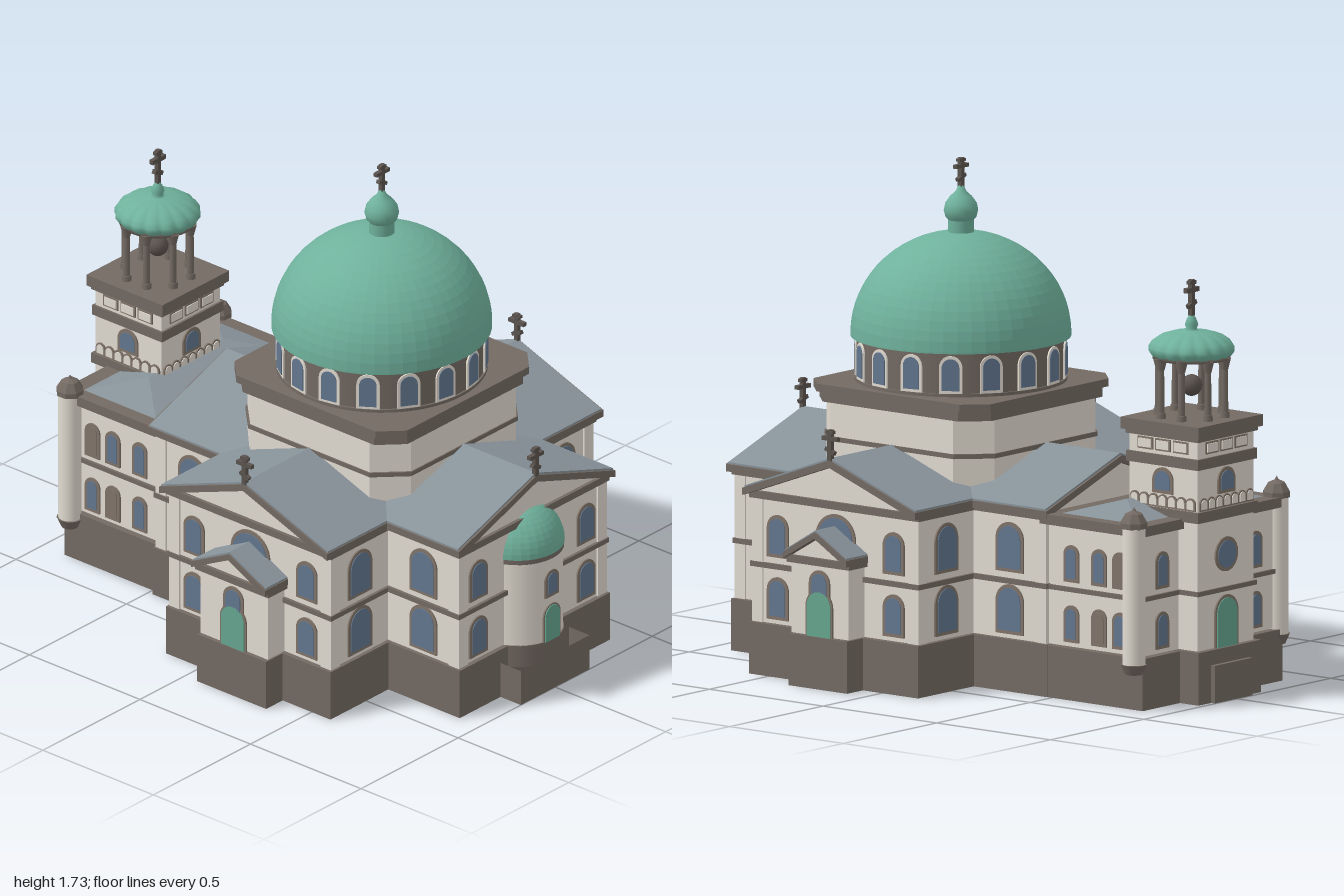
import * as THREE from 'three';

const mat = (name, color, side = THREE.FrontSide) => {
  const m = new THREE.MeshStandardMaterial({ color, side });
  m.name = name;
  return m;
};

export function createModel() {
  const wall = mat('cream wall', 0xe3ddd2), stone = mat('brown stone', 0x746a63, THREE.DoubleSide);
  const roof = mat('grey roof', 0x88939a), copper = mat('copper green', 0x6fb19c, THREE.DoubleSide);
  const glass = mat('window blue', 0x637790), door = mat('door green', 0x67a690);
  const trim = mat('window trim', 0x81756a), iron = mat('dark iron', 0x5c544f);
  const model = new THREE.Group();
  model.name = 'domedChurch';
  const CX = 0.213;

  const add = (parent, name, geo, material, x = 0, y = 0, z = 0) => {
    const m = new THREE.Mesh(geo, material);
    m.name = name;
    m.position.set(x, y, z);
    parent.add(m);
    return m;
  };
  const group = (parent, name, x = 0, y = 0, z = 0, rotY = 0) => {
    const g = new THREE.Group();
    g.name = name;
    g.position.set(x, y, z);
    g.rotation.y = rotY;
    parent.add(g);
    return g;
  };
  // box given by its bounds
  const box = (p, name, m, x0, x1, y0, y1, z0, z1) =>
    add(p, name, new THREE.BoxGeometry(x1 - x0, y1 - y0, z1 - z0), m, (x0 + x1) / 2, (y0 + y1) / 2, (z0 + z1) / 2);
  const cyl = (p, name, m, r0, r1, y0, y1, x = 0, z = 0, n = 32) =>
    add(p, name, new THREE.CylinderGeometry(r1, r0, y1 - y0, n), m, x, (y0 + y1) / 2, z);
  const lathe = (pts, n = 32) => new THREE.LatheGeometry(pts.map(p => new THREE.Vector2(...p)), n);
  const prism = (pts, depth) => new THREE.ExtrudeGeometry(
    new THREE.Shape(pts.map(p => new THREE.Vector2(...p))), { depth, bevelEnabled: false });
  const faceted = geo => {
    const g = geo.toNonIndexed();
    g.computeVertexNormals();
    return g;
  };

  // hollow plinth, open underneath and optionally on top; outline in (x, -z)
  const plinth = (p, name, pts, h, lid = true) => {
    const src = prism(pts, h).rotateX(-Math.PI / 2), caps = src.groups[0].count;
    const geo = new THREE.BufferGeometry();
    geo.setAttribute('position', new THREE.Float32BufferAttribute(
      src.attributes.position.array.slice(3 * (lid ? caps / 2 : caps)), 3));
    geo.computeVertexNormals();
    return add(p, name, geo, stone);
  };
  const rect = (x0, x1, z0, z1) => [[x0, -z1], [x1, -z1], [x1, -z0], [x0, -z0]];

  // round-headed plate standing on y = 0
  const archGeo = (w, h, depth) => {
    const s = new THREE.Shape(), r = w / 2;
    s.moveTo(-r, 0);
    s.lineTo(r, 0);
    s.lineTo(r, h - r);
    s.absarc(0, h - r, r, 0, Math.PI, false);
    s.lineTo(-r, 0);
    return new THREE.ExtrudeGeometry(s, { depth, bevelEnabled: false, curveSegments: 10 });
  };
  const archWindow = (p, x, y, z, rotY, w, h, pane = glass, frame = trim, t = 0.012) => {
    const g = group(p, pane === door ? 'archedDoor' : 'archedWindow', x, y, z, rotY);
    add(g, 'frame', archGeo(w, h, 0.006), frame);
    add(g, 'pane', archGeo(w - 2 * t, h - (pane === door ? 1 : 2) * t, 0.009), pane, 0, pane === door ? 0 : t);
  };

  // three-barred cross in the local xy plane
  const cross = (p, x, y, z, rotY, h) => {
    const g = group(p, 'cross', x, y, z, rotY), t = 0.016;
    box(g, 'post', iron, -t / 2, t / 2, 0, h, -t / 2, t / 2);
    box(g, 'topBar', iron, -0.016, 0.016, h * 0.87, h * 0.97, -t / 2, t / 2);
    box(g, 'mainBar', iron, -0.034, 0.034, h * 0.65, h * 0.78, -t / 2, t / 2);
    box(g, 'slantBar', iron, -0.021, 0.021, h * 0.26, h * 0.38, -t / 2, t / 2).rotation.z = -0.4;
  };

  // gabled wall block with a pediment and its roof, running along local z
  const gable = (p, hw, hr, y0, eave, apex, z0, z1, over, thick) => {
    const top = x => apex - (apex - eave) * x / hr - thick * 0.7;
    add(p, 'gabledWalls', prism([[-hw, y0], [hw, y0], [hw, top(hw)], [0, top(0)], [-hw, top(hw)]], z1 - z0), wall, 0, 0, z0);
    const slab = (h, up, t) => [[-h, eave + up - t], [0, apex + up - t], [h, eave + up - t], [h, eave + up], [0, apex + up], [-h, eave + up]];
    add(p, 'rakingCornice', prism(slab(hr, 0, thick), z1 - z0 + over), stone, 0, 0, z0);
    add(p, 'roofSlopes', prism(slab(hr - 0.003, 0.007, 0.01), z1 - z0 + over - 0.008), roof, 0, 0, z0);
    box(p, 'eavesCornice', stone, -hw - 0.013, hw + 0.013, eave - 0.036, eave - 0.01, z0, z1 + 0.013);
  };

  // cross-shaped plinth
  const [pa, pb, pc, pd] = [0.372, 0.387, 0.685, 0.695];
  plinth(model, 'mainPlinth', [[-pa, -pc], [pa, -pc], [pa, -pb], [pd, -pb], [pd, pb], [pa, pb], [pa, pc],
    [-pa, pc], [-pa, pb], [-pd, pb], [-pd, -pb], [-pa, -pb]], 0.18).position.x = CX;

  // four arms of the cross plan: front, east, back, west
  for (let k = 0; k < 4; k++) {
    const ns = k % 2 === 0, hw = ns ? 0.36 : 0.375, L = ns ? 0.67 : 0.68, hr = ns ? 0.38 : 0.403;
    const g = group(model, ['frontArm', 'leftArm', 'backArm', 'rightArm'][k], CX, 0, 0, k * Math.PI / 2);
    gable(g, hw, hr, 0.182, 0.645, 0.783, 0, L, ns ? 0.042 : 0.026, 0.025);
    box(g, 'stringCourse', stone, -hw - 0.011, hw + 0.011, 0.372, 0.39, 0, L + 0.011);
    for (const s of [-1, 1]) {
      box(g, 'cornerPilaster', wall, s * (hw - 0.017) - 0.023, s * (hw - 0.017) + 0.023, 0.182, 0.61, L - 0.04, L + 0.006);
      for (const [y, h] of [[0.197, 0.172], [0.412, 0.172]]) {
        archWindow(g, s * hw, y, 0.523, s * Math.PI / 2, 0.122, h);
        if (k < 3) archWindow(g, s * (ns ? 0.255 : 0.277), y, L, 0, 0.093, h - 0.025);
      }
    }
    if (k < 3) cross(g, 0, 0.78, L + (ns ? 0.031 : 0.018), 0, 0.108);
    // porches on the front and back
    if (ns) {
      const w = k === 0 ? 0.152 : 0.125;
      archWindow(g, 0, 0.412, L, 0, 0.175, 0.18);
      const porch = group(g, 'porch');
      plinth(porch, 'porchPlinth', rect(-w - 0.004, w + 0.004, 0.68, 0.77), 0.18);
      gable(porch, w, w + 0.015, 0.182, 0.462, 0.545, 0.6, 0.757, 0.032, 0.022);
      archWindow(porch, 0, 0.31, 0.757, 0, 0.09, 0.1);
      archWindow(porch, 0, 0.18, 0.758, 0, 0.118, 0.162, door, trim, 0.007);
    }
  }

  // rounded apse on the east end
  const apse = group(model, 'apse', 0.831);
  plinth(apse, 'apseStep', rect(0.07, 0.169, -0.177, 0.177), 0.13, false);
  cyl(apse, 'apsePlinth', stone, 0.158, 0.158, 0.1, 0.18);
  cyl(apse, 'apseWall', wall, 0.154, 0.154, 0.18, 0.495);
  cyl(apse, 'apseCornice', stone, 0.158, 0.158, 0.49, 0.515);
  const halfSphere = new THREE.SphereGeometry(0.16, 32, 12, 0, Math.PI * 2, 0, Math.PI / 2);
  add(apse, 'apseDome', faceted(halfSphere), copper, 0, 0.508, 0).scale.y = 0.97;
  archWindow(apse, 0.15, 0.345, 0, Math.PI / 2, 0.07, 0.1);
  archWindow(apse, 0.15, 0.18, 0, Math.PI / 2, 0.085, 0.137, door, trim, 0.006);

  // chamfered crossing block
  const crossing = group(model, 'crossing', CX, 0, -0.003);
  const chamfered = (name, m, a, c, y0, y1) => {
    const b = a - c;
    const geo = prism([[-b, -a], [b, -a], [a, -b], [a, b], [b, a], [-b, a], [-a, b], [-a, -b]], y1 - y0);
    add(crossing, name, geo.rotateX(-Math.PI / 2), m, 0, y0, 0);
  };
  chamfered('crossingWall', wall, 0.37, 0.1, 0.5, 0.915);
  chamfered('crossingBand', stone, 0.375, 0.1, 0.772, 0.788);
  chamfered('lowerCornice', stone, 0.378, 0.08, 0.905, 0.94);
  chamfered('upperCornice', stone, 0.39, 0.075, 0.94, 0.967);

  // window drum and main dome
  cyl(crossing, 'drum', stone, 0.355, 0.355, 0.96, 1.125, 0, 0, 64);
  cyl(crossing, 'drumFoot', stone, 0.362, 0.362, 0.96, 0.978, 0, 0, 64);
  for (let i = 0; i < 16; i++) {
    const a = (i + 0.5) * Math.PI / 8;
    archWindow(crossing, 0.353 * Math.sin(a), 0.978, 0.353 * Math.cos(a), a, 0.08, 0.13, glass, wall, 0.01);
  }
  const domePts = [[0.35, 1.115], [0.376, 1.118]];
  for (let i = 0; i <= 16; i++) {
    const a = i / 16 * Math.PI / 2;
    domePts.push([Math.max(0.376 * Math.cos(a), 0.0001), 1.125 + 0.352 * Math.sin(a)]);
  }
  add(crossing, 'mainDome', faceted(lathe(domePts, 48)), copper);
  cyl(crossing, 'finialNeck', copper, 0.044, 0.044, 1.46, 1.525, 0, 0, 24);
  add(crossing, 'finialOnion', lathe([[0.04, 1.512], [0.053, 1.526], [0.059, 1.549], [0.054, 1.573], [0.037, 1.597],
    [0.019, 1.613], [0.008, 1.635], [0.0001, 1.645]], 24), copper);
  cross(crossing, 0, 1.63, 0, Math.PI / 2, 0.1);

  // western hall with hipped roof
  const hall = group(model, 'westHall', 0, 0, -0.01);
  plinth(hall, 'hallPlinth', rect(-0.9, -0.482, -0.375, 0.375), 0.179);
  box(hall, 'hallWalls', wall, -0.88, -0.44, 0.182, 0.61, -0.355, 0.355);
  box(hall, 'hallStringCourse', stone, -0.89, -0.46, 0.372, 0.388, -0.365, 0.365);
  box(hall, 'hallCornice', stone, -0.903, -0.46, 0.6, 0.635, -0.39, 0.39);
  const hip = new THREE.BoxGeometry(0.34, 0.05, 0.69), pos = hip.attributes.position;
  for (let i = 0; i < pos.count; i++) {
    if (pos.getY(i) > 0) pos.setXYZ(i, 0, pos.getY(i), Math.sign(pos.getZ(i)) * 0.19);
  }
  add(hall, 'hippedRoof', faceted(hip), roof, -0.68, 0.658, 0);
  for (const s of [-1, 1]) {
    [0.197, 0.405].forEach((y, row) => {
      // one blind niche in each row
      [-0.695, -0.787, -0.573].forEach((x, i) =>
        archWindow(hall, x, y, s * 0.355, s > 0 ? 0 : Math.PI, 0.066, 0.128, i === row ? trim : glass));
      archWindow(hall, -0.88, y, s * 0.25, -Math.PI / 2, 0.07, 0.128);
    });
    // corner turrets
    const t = group(hall, 'cornerTurret', -0.868, 0, s * 0.382);
    cyl(t, 'turretFoot', stone, 0.03, 0.046, 0.125, 0.16, 0, 0, 16);
    cyl(t, 'turretShaft', wall, 0.04, 0.04, 0.16, 0.63, 0, 0, 16);
    const cap = lathe([[0.03, 0.625], [0.048, 0.632], [0.048, 0.65], [0.03, 0.68], [0.008, 0.69], [0.0001, 0.703]], 8);
    add(t, 'turretCap', faceted(cap.rotateY(Math.PI / 8)), stone);
  }

  // bell tower
  const TX = -0.813, tower = group(model, 'bellTower', TX, 0, -0.017);
  const tier = (name, m, a, y0, y1) => box(tower, name, m, -a, a, y0, y1, -a, a);
  plinth(tower, 'towerPlinth', rect(-0.168, 0.168, -0.168, 0.168), 0.181);
  plinth(tower, 'doorStep', rect(-0.185, -0.165, -0.1, 0.1), 0.13);
  tier('towerShaft', wall, 0.15, 0.182, 0.92);
  tier('towerStringCourse', stone, 0.158, 0.372, 0.388);
  tier('towerLowerBand', stone, 0.16, 0.625, 0.662);
  tier('towerMiddleBand', stone, 0.158, 0.808, 0.845);
  tier('towerUpperBand', stone, 0.16, 0.905, 0.922);
  tier('belfryFloor', stone, 0.172, 0.92, 0.96);
  for (let k = 0; k < 4; k++) {
    const f = group(tower, 'towerFace', 0, 0, 0, k * Math.PI / 2);
    archWindow(f, 0, 0.712, 0.15, 0, 0.09, 0.09);
    for (let i = -3; i <= 3; i++) archWindow(f, i * 0.041, 0.664, 0.15, 0, 0.041, 0.045, wall, trim, 0.006);
    for (const x of [-0.078, 0, 0.078]) {
      box(f, 'panelFrame', trim, x - 0.033, x + 0.033, 0.858, 0.9, 0.149, 0.155);
      box(f, 'panel', wall, x - 0.027, x + 0.027, 0.864, 0.894, 0.15, 0.158);
    }
  }
  archWindow(tower, -0.15, 0.18, 0, -Math.PI / 2, 0.125, 0.18, door, trim, 0.01);
  const rose = group(tower, 'roundWindow', -0.152, 0.5, 0, -Math.PI / 2);
  add(rose, 'roundFrame', new THREE.CylinderGeometry(0.06, 0.06, 0.008, 24).rotateX(Math.PI / 2), trim);
  add(rose, 'roundPane', new THREE.CylinderGeometry(0.047, 0.047, 0.009, 24).rotateX(Math.PI / 2), glass, 0, 0, 0.002);

  // open belfry with fluted cupola and bell
  for (let i = 0; i < 8; i++) {
    const a = (i + 0.5) * Math.PI / 4, c = group(tower, 'belfryColumn', 0.118 * Math.sin(a), 0, 0.118 * Math.cos(a), a);
    cyl(c, 'columnShaft', stone, 0.013, 0.011, 0.96, 1.15, 0, 0, 10);
    cyl(c, 'columnBase', stone, 0.018, 0.016, 0.96, 0.98, 0, 0, 10);
    cyl(c, 'columnCapital', stone, 0.012, 0.022, 1.125, 1.165, 0, 0, 10);
  }
  add(tower, 'belfryRing', lathe([[0.1, 1.16], [0.133, 1.16], [0.133, 1.18], [0.1, 1.18], [0.1, 1.16]]), stone);
  const cupola = lathe([[0.135, 1.17], [0.146, 1.185], [0.146, 1.2], [0.134, 1.218], [0.107, 1.237], [0.065, 1.25],
    [0.025, 1.254], [0.018, 1.262], [0.023, 1.275], [0.016, 1.295], [0.006, 1.31], [0.0001, 1.315]], 96);
  const cp = cupola.attributes.position;
  for (let i = 0; i < cp.count; i++) {
    const x = cp.getX(i), z = cp.getZ(i), r = Math.hypot(x, z);
    const s = r > 0.04 ? 0.96 + 0.05 * Math.abs(Math.sin(8 * Math.atan2(x, z))) : 1;
    cp.setXYZ(i, x * s, cp.getY(i), z * s);
  }
  cupola.computeVertexNormals();
  add(tower, 'flutedCupola', cupola, copper);
  add(tower, 'bell', new THREE.SphereGeometry(0.037, 16, 12), iron, 0, 1.065, 0);
  cross(tower, 0, 1.305, 0, Math.PI / 2, 0.125);

  return model;
}
